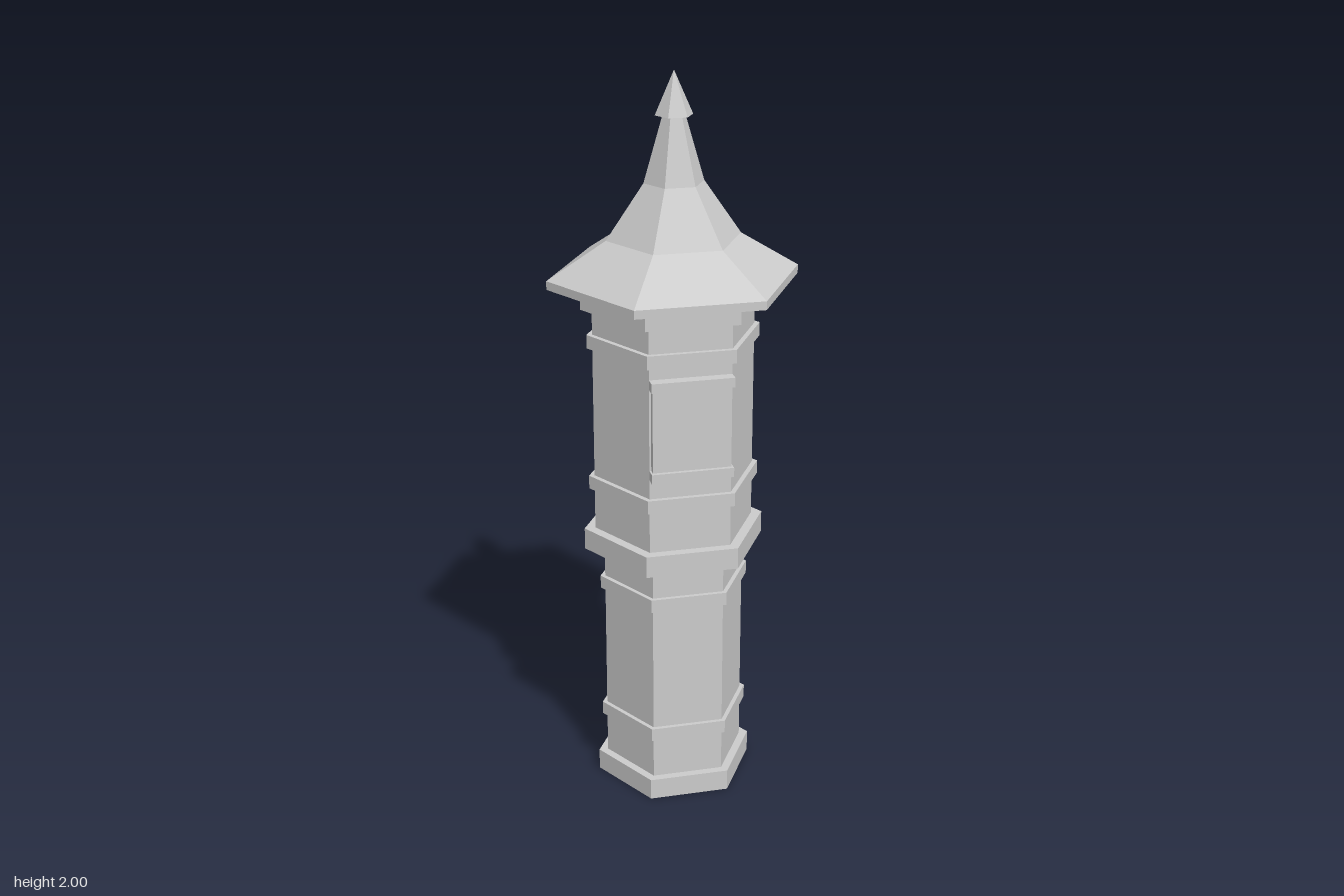
import * as THREE from 'three';

const material = new THREE.MeshStandardMaterial({ color: 0xcccccc, flatShading: true });

function add(group, name, geometry) {
  const mesh = new THREE.Mesh(geometry, material);
  mesh.name = name;
  group.add(mesh);
  return mesh;
}

// Six-sided prism from y0 to y1, flat side facing +z
function hexPrism(group, name, radius, y0, y1) {
  const geometry = new THREE.CylinderGeometry(radius, radius, y1 - y0, 6, 1, false, Math.PI / 6);
  add(group, name, geometry).position.y = (y0 + y1) / 2;
}

// Six-sided profile of [radius, y] points, listed from bottom to top
function hexLathe(group, name, profile) {
  const points = profile.map(([r, y]) => new THREE.Vector2(r, y));
  add(group, name, new THREE.LatheGeometry(points, 6, Math.PI / 6));
}

function frontBox(group, name, width, y0, y1, zFront) {
  const depth = zFront - 0.17;
  add(group, name, new THREE.BoxGeometry(width, y1 - y0, depth))
    .position.set(0, (y0 + y1) / 2, zFront - depth / 2);
}

export function createModel() {
  const tower = new THREE.Group();
  tower.name = 'hexagonalTower';

  // Body: plinth, two shafts, ledge and cornice
  hexPrism(tower, 'plinth', 0.22, 0, 0.06);
  hexPrism(tower, 'lowerShaft', 0.195, 0.06, 0.705);
  hexPrism(tower, 'middleLedge', 0.25, 0.705, 0.765);
  hexPrism(tower, 'upperShaft', 0.22, 0.765, 1.39);
  hexPrism(tower, 'cornice', 0.25, 1.39, 1.45);

  // Thin bands around the shafts
  for (const y of [0.18, 0.58]) hexPrism(tower, 'lowerBand', 0.208, y, y + 0.037);
  for (const y of [0.883, 1.283]) hexPrism(tower, 'upperBand', 0.235, y, y + 0.037);

  // Raised front panel with a rail at top and bottom
  frontBox(tower, 'frontPanel', 0.21, 0.985, 1.24, 0.21);
  for (const y of [0.975, 1.225]) frontBox(tower, 'panelRail', 0.22, y, y + 0.026, 0.221);

  // Flared roof with a thick eave, and the finial on its tip
  hexLathe(tower, 'roof', [
    [0, 1.45], [0.337, 1.45], [0.337, 1.473], [0.18, 1.57],
    [0.08, 1.715], [0.03, 1.887], [0, 1.887],
  ]);
  hexLathe(tower, 'finial', [[0, 1.887], [0.05, 1.887], [0, 2]]);

  return tower;
}
